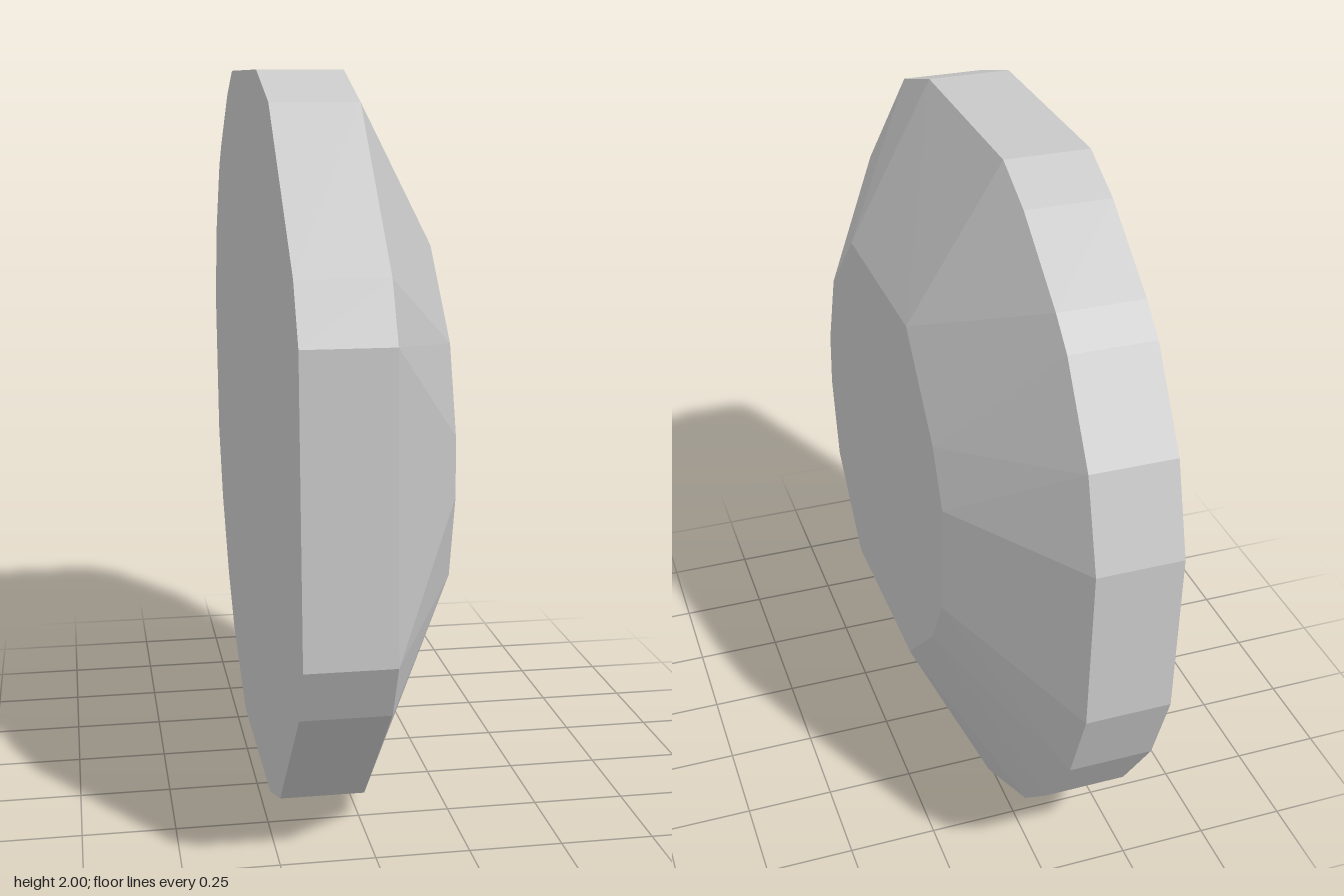
import * as THREE from 'three';

// Rim outline as [z, y, last crown corner this rim corner fans to]
const RIM = [
  [0.3, 2, 1], [-0.3, 2, 1], [-0.45, 1.93, 1], [-0.68, 1.77, 2], [-0.76, 1.7, 2],
  [-0.92, 1.47, 3], [-1, 1.23, 4], [-1, 0.78, 4], [-0.92, 0.55, 5], [-0.77, 0.32, 5],
  [-0.62, 0.17, 6], [-0.31, 0, 7], [0.31, 0, 7], [0.53, 0.08, 8], [0.92, 0.46, 8],
  [1, 0.61, 10], [1, 1.38, 11], [0.93, 1.53, 11], [0.54, 1.92, 12],
];

// Flat crown outline as [z, y]
const CROWN = [
  [0.31, 1.54], [-0.23, 1.545], [-0.46, 1.315], [-0.54, 1.17], [-0.54, 0.86], [-0.46, 0.7],
  [-0.24, 0.475], [0.3, 0.47], [0.54, 0.69], [0.61, 0.92], [0.61, 1.08], [0.54, 1.31],
];

// Place an outline at depth x, with the slight lean of the whole disc
const loop = (outline, x) =>
  outline.map(([z, y]) => new THREE.Vector3(x - 0.0105 * (y - 1), y, z));

function facetMesh(name, triangles, material) {
  const geometry = new THREE.BufferGeometry().setFromPoints(triangles.flat());
  geometry.computeVertexNormals(); // unshared corners give flat facets
  const mesh = new THREE.Mesh(geometry, material);
  mesh.name = name;
  return mesh;
}

// Fan over a convex loop, facing +x or -x
function fan(points, facesPositiveX) {
  const triangles = [];
  for (let i = 1; i < points.length - 1; i++) {
    const [a, b] = facesPositiveX ? [points[i + 1], points[i]] : [points[i], points[i + 1]];
    triangles.push([points[0], a, b]);
  }
  return triangles;
}

export function createModel() {
  const group = new THREE.Group();
  group.name = 'facetedDisc';
  const grey = new THREE.MeshStandardMaterial({ color: 0xc8c8c8 });
  grey.name = 'light grey';

  const back = loop(RIM, -0.23);
  const edge = loop(RIM, 0);
  const crown = loop(CROWN, 0.23);

  // Straight band around the disc, and sloping facets from band to crown
  const band = [];
  const slope = [];
  let inner = 0;
  RIM.forEach(([, , last], i) => {
    const next = (i + 1) % RIM.length;
    band.push([back[i], edge[i], edge[next]], [back[i], edge[next], back[next]]);
    for (; inner < last; inner++) {
      slope.push([edge[i], crown[inner], crown[(inner + 1) % crown.length]]);
    }
    slope.push([edge[i], crown[inner % crown.length], edge[next]]);
  });

  group.add(
    facetMesh('rimBand', band, grey),
    facetMesh('slopedFacets', slope, grey),
    facetMesh('crownFace', fan(crown, true), grey),
    facetMesh('backFace', fan(back, false), grey),
  );
  return group;
}
